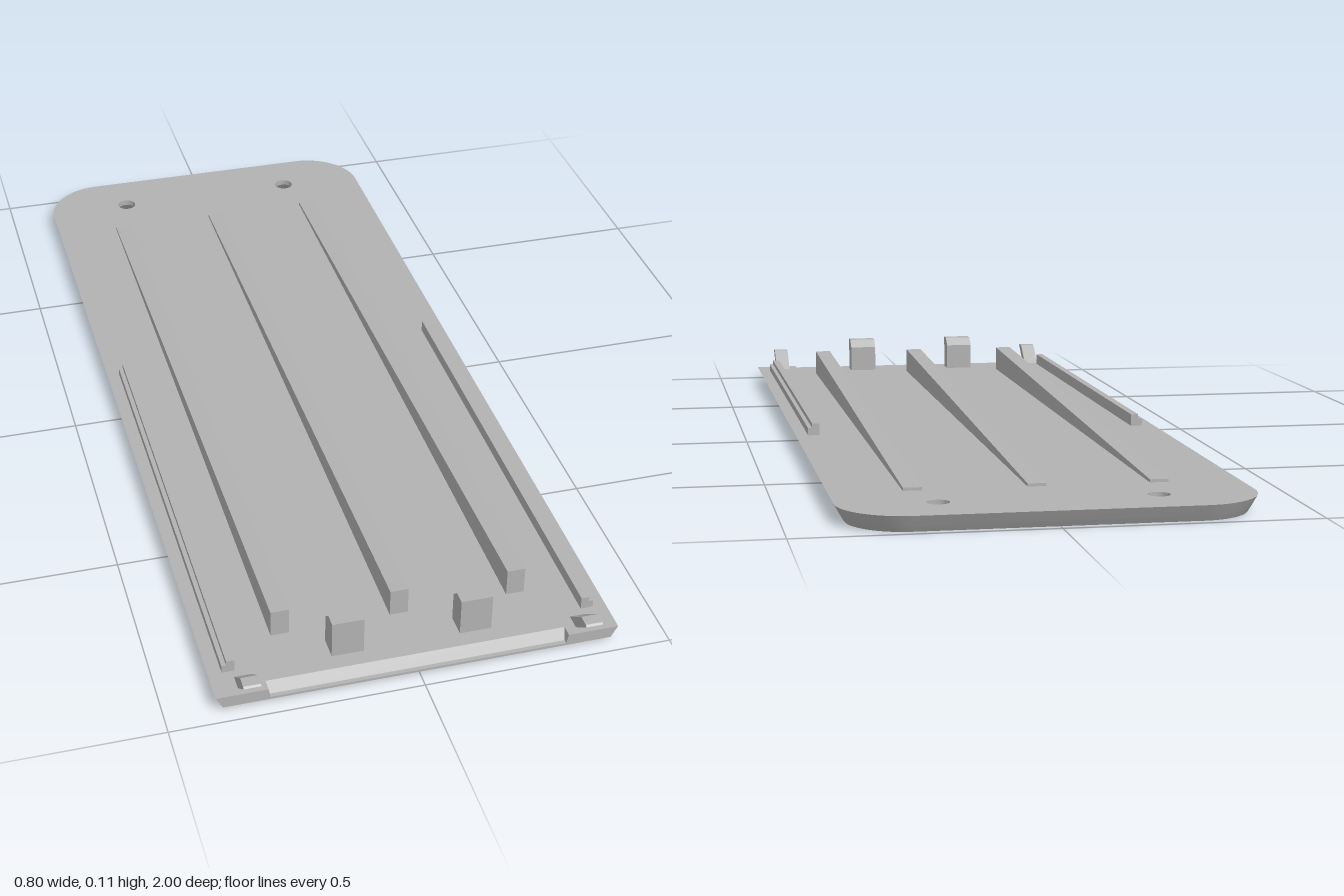
import * as THREE from 'three';
import { toCreasedNormals } from 'three/addons/utils/BufferGeometryUtils.js';

const TOP = 0.033; // upper face of the plate

// Plate outline, anticlockwise from above; notchX / notchZ cut the front edge
function outline(y, inset, front, notchX, notchZ) {
  const w = 0.402 - inset, r = 0.13 - inset, cx = 0.272, cz = -0.87;
  const pts = [[-w, front], [-notchX, front], [-notchX, notchZ], [notchX, notchZ], [notchX, front], [w, front]];
  for (const side of [0, 1]) {
    for (let i = 0; i <= 14; i++) {
      const a = (side + i / 14) * Math.PI / 2;
      pts.push([(side ? -cx : cx) + r * Math.cos(a), cz - r * Math.sin(a)]);
    }
  }
  return pts.map(([x, z]) => new THREE.Vector3(x, y, z));
}

// Screw hole ring, clockwise from above
function ring(x, y, r) {
  const pts = [];
  for (let i = 0; i < 24; i++) {
    const a = -i / 24 * Math.PI * 2;
    pts.push(new THREE.Vector3(x + r * Math.cos(a), y, -0.886 - r * Math.sin(a)));
  }
  return pts;
}

function plateGeometry() {
  const pos = [];
  const tri = (a, b, c) => pos.push(...a.toArray(), ...b.toArray(), ...c.toArray());
  const walls = (loops) => {
    for (let k = 0; k < loops.length - 1; k++) {
      const lo = loops[k], hi = loops[k + 1];
      for (let i = 0; i < lo.length; i++) {
        const j = (i + 1) % lo.length;
        tri(lo[i], lo[j], hi[j]);
        tri(lo[i], hi[j], hi[i]);
      }
    }
  };
  const cap = (contour, holes, up) => {
    const flat = (l) => l.map((p) => new THREE.Vector2(p.x, -p.z));
    const all = [contour, ...holes].flat();
    for (const [a, b, c] of THREE.ShapeUtils.triangulateShape(flat(contour), holes.map(flat))) {
      if (up) tri(all[a], all[b], all[c]);
      else tri(all[a], all[c], all[b]);
    }
  };

  // Bevelled rim with a shallow ledge cut into the front edge
  const rim = [
    outline(0, 0.019, 0.96, 0.296, 0.96),
    outline(0.008, 0.014, 0.97, 0.296, 0.97),
    outline(0.013, 0.011, 0.97, 0.296, 0.97),
    outline(0.013, 0.011, 0.97, 0.296, 0.961),
    outline(TOP, 0, 0.97, 0.3, 0.946),
  ];
  // Countersunk holes, wide at the underside
  const holes = [-0.21, 0.21].map((x) => [ring(x, 0, 0.036), ring(x, 0.02, 0.022), ring(x, TOP, 0.022)]);
  walls(rim);
  holes.forEach(walls);
  cap(rim[0], holes.map((h) => h[0]), false);
  cap(rim[4], holes.map((h) => h[2]), true);

  const g = new THREE.BufferGeometry();
  g.setAttribute('position', new THREE.Float32BufferAttribute(pos, 3));
  return toCreasedNormals(g, 0.35);
}

function extrude(points, depth) {
  const shape = new THREE.Shape(points.map(([x, y]) => new THREE.Vector2(x, y)));
  return new THREE.ExtrudeGeometry(shape, { depth, bevelEnabled: false });
}

// Side profile given as (z, y), extruded to a width centred on x
function sideProfile(points, width, x) {
  return extrude(points, width).rotateY(-Math.PI / 2).translate(x + width / 2, 0, 0);
}

export function createModel() {
  const group = new THREE.Group();
  const grey = new THREE.MeshStandardMaterial({ color: 0xb2b2b2 });
  grey.name = 'grey plastic';
  const add = (name, geometry) => {
    const mesh = new THREE.Mesh(geometry, grey);
    mesh.name = name;
    group.add(mesh);
  };
  const base = TOP - 0.002; // parts sink slightly into the plate

  add('plate', plateGeometry());

  // Three long ribs tapering towards the back
  for (const x of [-0.241, 0, 0.241]) {
    add('taperedRib', sideProfile([[0.825, base], [0.825, 0.091], [-0.772, 0.039], [-0.772, base]], 0.037, x));
  }

  for (const s of [-1, 1]) {
    const side = s > 0 ? 'left' : 'right';

    // Upright stop with a sloped back
    add(side + 'StopTab', sideProfile(
      [[0.912, base], [0.912, 0.112], [0.884, 0.112], [0.865, 0.094], [0.865, base]], 0.064, s * 0.129));

    // Stepped rail along the edge
    add(side + 'EdgeRail', extrude(
      [[0.35, base], [0.375, base], [0.375, 0.049], [0.366, 0.049], [0.366, 0.059], [0.35, 0.059]]
        .map(([x, y]) => [s * x, y]), 1.03).translate(0, 0, -0.127));

    // Hooked clip leaning over the front edge
    add(side + 'FrontClip', sideProfile(
      [[0.95, base], [1, 0.073], [0.996, 0.076], [0.972, 0.076], [0.918, base]], 0.034, s * 0.338));
  }
  return group;
}
